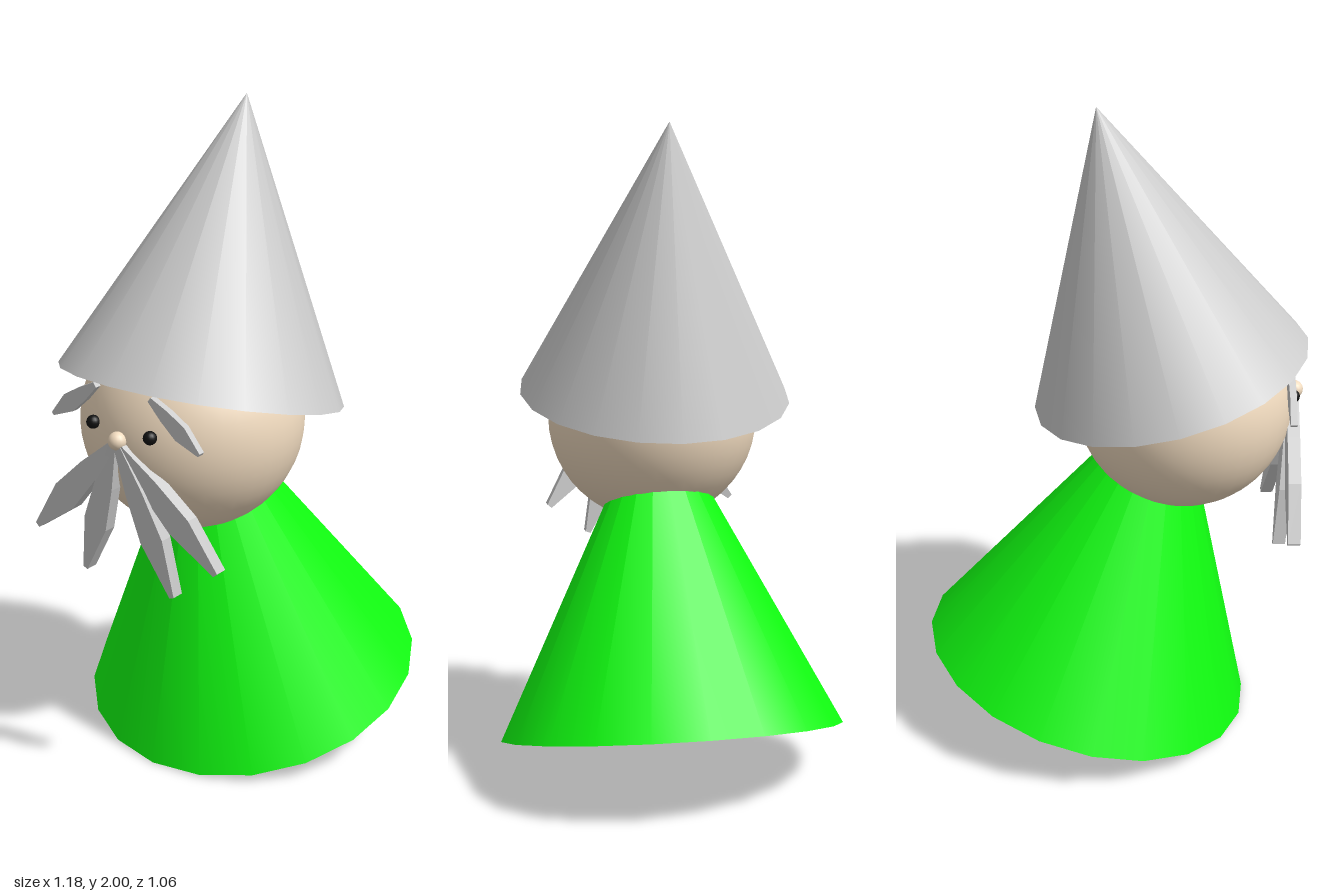
import * as THREE from 'three';

const material = (color) => new THREE.MeshStandardMaterial({ color });
const TILT = THREE.MathUtils.degToRad(15);

export function createModel() {
  const model = new THREE.Group();
  model.name = 'gnome';
  const grey = material(0xcccccc);
  const green = material(0x11ff11);
  const skin = material(0xf2dcc0);
  const black = material(0x111111);

  const add = (name, geometry, mat, x = 0, y = 0, z = 0) => {
    const mesh = new THREE.Mesh(geometry, mat);
    mesh.name = name;
    mesh.position.set(x, y, z);
    model.add(mesh);
    return mesh;
  };

  // Cone twice as tall as its radius, placed by its base centre and leaning about z
  const cone = (name, radius, mat, x, y, lean) => {
    const geometry = new THREE.ConeGeometry(radius, radius * 2, 20);
    geometry.translate(0, radius, 0);
    add(name, geometry, mat, x, y).rotation.z = lean;
  };

  // Flat tuft of hair: a leaf outline in the z-y plane, thick along x,
  // sheared so its root and tip reach different x positions
  const tuft = (name, root, tip, width, depth) => {
    const a = new THREE.Vector2(root[2], root[1]);
    const dir = new THREE.Vector2(tip[2], tip[1]).sub(a);
    const length = dir.length();
    dir.divideScalar(length);
    const outline = [[0, 0.15], [0.3, 0.38], [0.62, 0.5], [1, 0.1]];
    const side = (s) => outline.map(([t, w]) => new THREE.Vector2(
      a.x + dir.x * t * length - dir.y * w * width * s,
      a.y + dir.y * t * length + dir.x * w * width * s));
    const shape = new THREE.Shape([...side(1), ...side(-1).reverse()]);
    const geometry = new THREE.ExtrudeGeometry(shape, { depth, bevelEnabled: false });
    geometry.translate(0, 0, -depth / 2);
    geometry.rotateY(-Math.PI / 2);
    const p = geometry.attributes.position;
    for (let i = 0; i < p.count; i++) {
      const t = ((p.getZ(i) - a.x) * dir.x + (p.getY(i) - a.y) * dir.y) / length;
      p.setX(i, p.getX(i) + THREE.MathUtils.lerp(root[0], tip[0], t));
    }
    geometry.computeVertexNormals();
    add(name, geometry, grey);
  };

  // Leaning robe and hat
  cone('robe', 0.532, green, 0.077, 0.138, TILT);
  cone('hat', 0.428, grey, -0.178, 1.173, -TILT);

  // Head and nose; the face looks toward -x
  add('head', new THREE.SphereGeometry(0.332, 40, 24), skin, -0.22, 1.087, 0);
  add('nose', new THREE.SphereGeometry(0.027, 16, 12), skin, -0.558, 1.112, 0);

  for (const s of [-1, 1]) {
    const sideName = s < 0 ? 'Back' : 'Front';
    add('eye' + sideName, new THREE.SphereGeometry(0.02, 16, 12), black, -0.54, 1.14, s * 0.105);
    // Brow sloping outward and down from under the hat
    tuft('eyebrow' + sideName, [-0.525, 1.25, s * 0.1], [-0.522, 1.125, s * 0.27], 0.055, 0.02);
    // Two beard strands on each side, fanning out from below the nose
    tuft('innerBeard' + sideName, [-0.552, 1.095, s * 0.01], [-0.512, 0.66, s * 0.165], 0.085, 0.038);
    tuft('outerBeard' + sideName, [-0.55, 1.095, s * 0.015],
      [s < 0 ? -0.532 : -0.482, 0.76, s < 0 ? -0.335 : 0.3], 0.09, 0.038);
  }
  return model;
}
